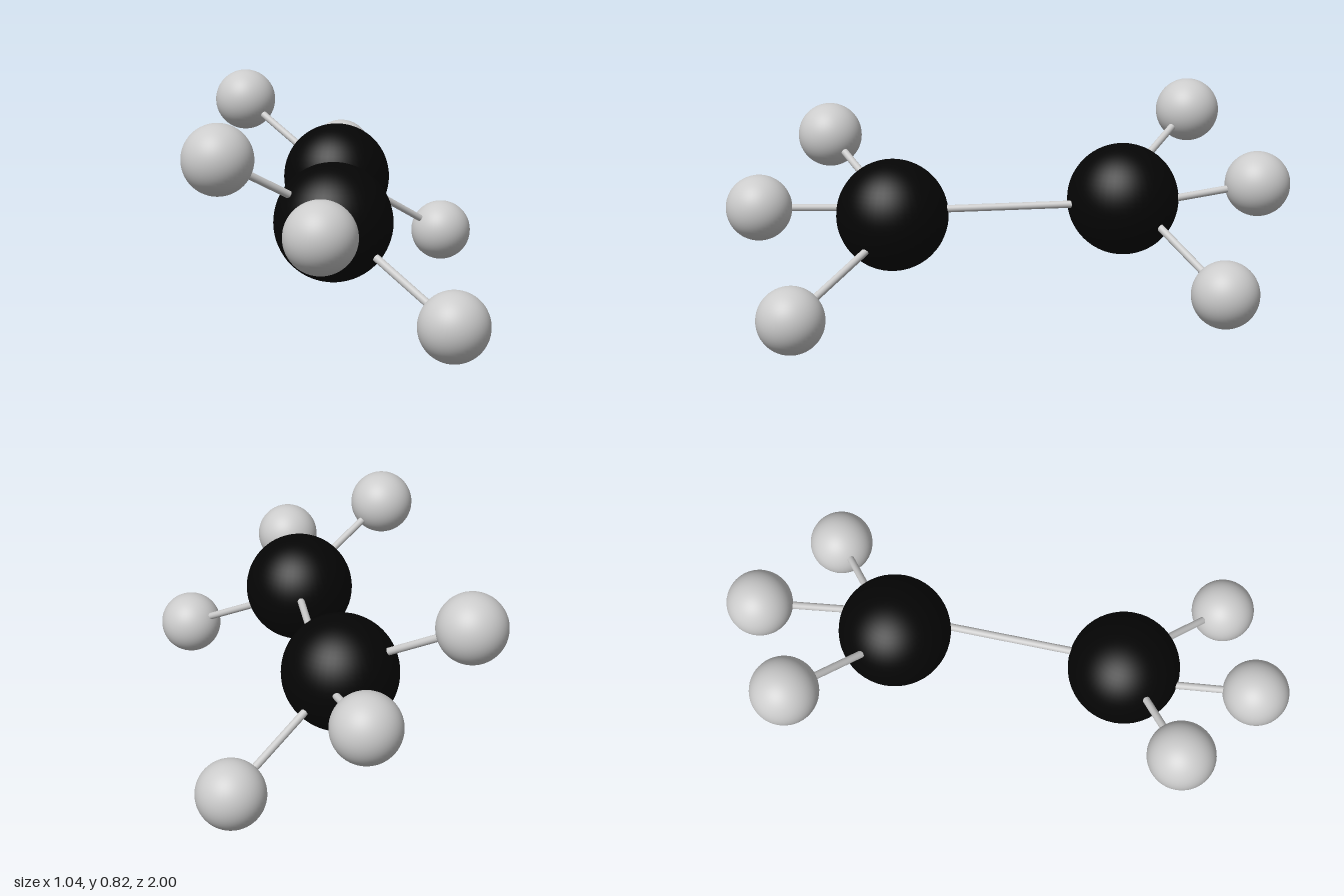
import * as THREE from 'three';

const grey = new THREE.MeshStandardMaterial({ color: 0xcccccc });
const black = new THREE.MeshStandardMaterial({ color: 0x050505 });

function ball(name, radius, center, material) {
  const mesh = new THREE.Mesh(new THREE.SphereGeometry(radius, 48, 32), material);
  mesh.name = name;
  mesh.position.set(...center);
  return mesh;
}

// Round rod between two points
function rod(name, from, to) {
  const a = new THREE.Vector3(...from), b = new THREE.Vector3(...to);
  const dir = b.clone().sub(a);
  const mesh = new THREE.Mesh(new THREE.CylinderGeometry(0.013, 0.013, dir.length(), 20), grey);
  mesh.name = name;
  mesh.position.copy(a).add(b).multiplyScalar(0.5);
  mesh.quaternion.setFromUnitVectors(new THREE.Vector3(0, 1, 0), dir.normalize());
  return mesh;
}

export function createModel() {
  const model = new THREE.Group();
  model.name = 'ballAndStickMolecule';

  // Large dark atoms, joined by a slightly offset rod
  model.add(ball('frontCarbon', 0.198, [0.007, 0.391, 0.415], black));
  model.add(ball('backCarbon', 0.198, [-0.03, 0.437, -0.402], black));
  model.add(rod('carbonBond', [0.024, 0.411, 0.36], [0.024, 0.433, -0.34]));

  // Small atoms: centre, and the point where the rod enters the large atom
  const hydrogens = [
    ['frontMiddle', [-0.004, 0.418, 0.884], [-0.029, 0.411, 0.606]],
    ['frontRight', [-0.343, 0.624, 0.655], [-0.131, 0.495, 0.511]],
    ['frontLeft', [0.402, 0.117, 0.742], [0.155, 0.287, 0.51]],
    ['backRight', [-0.404, 0.703, -0.677], [-0.177, 0.543, -0.484]],
    ['backLeft', [0.366, 0.184, -0.713], [0.119, 0.35, -0.532]],
    ['backMiddle', [-0.039, 0.487, -0.884], [0.008, 0.449, -0.606]],
  ];
  for (const [name, center, entry] of hydrogens) {
    model.add(ball(name + 'Hydrogen', 0.116, center, grey));
    // Run the rod on into the large atom
    const end = entry.map((v, i) => v + (v - center[i]) * 0.3);
    model.add(rod(name + 'Bond', center, end));
  }
  return model;
}
